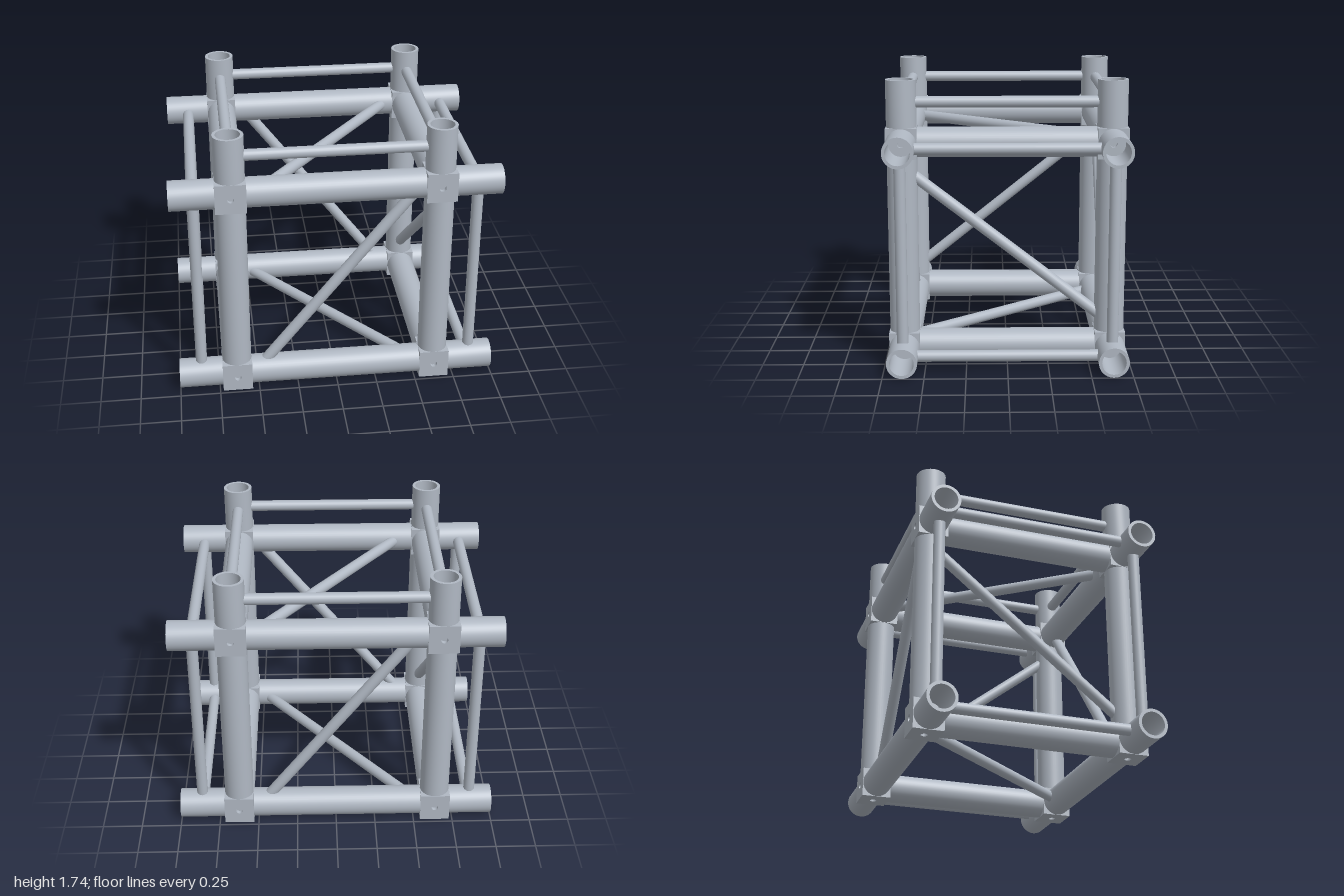
import * as THREE from 'three';
import { toCreasedNormals } from 'three/addons/utils/BufferGeometryUtils.js';

const R = 0.092;        // main tube radius
const INNER = 0.073;    // bore of the open tube ends
const BRACE = 0.035;    // thin brace radius
const S = 0.187;        // corner block size
const H = S / 2;
const LOW = H, HIGH = 1.363, TOP = 1.74;   // heights of the two frames and the post tips
const Z = 0.632;
const XL = -0.636, XR = 0.623;             // post centres

export function createModel() {
  const model = new THREE.Group();
  model.name = 'trussFrame';
  const steel = new THREE.MeshStandardMaterial({ color: 0xb0b8c3 });
  steel.name = 'pale steel';

  const add = (name, geometry, parent = model) => {
    const mesh = new THREE.Mesh(geometry, steel);
    mesh.name = name;
    parent.add(mesh);
    return mesh;
  };

  // Lays a mesh whose geometry runs along +y from its origin between two points
  const along = (mesh, a, b) => {
    mesh.position.copy(a);
    mesh.quaternion.setFromUnitVectors(new THREE.Vector3(0, 1, 0), b.clone().sub(a).normalize());
  };

  // Solid rod from a to b, optionally lengthened at both ends to bury it in its neighbours
  const rod = (name, a, b, radius, extra = 0) => {
    const p = new THREE.Vector3(...a), q = new THREE.Vector3(...b);
    const dir = q.clone().sub(p).normalize().multiplyScalar(extra);
    p.sub(dir);
    q.add(dir);
    const length = p.distanceTo(q);
    const g = new THREE.CylinderGeometry(radius, radius, length, radius > 0.05 ? 40 : 24);
    g.translate(0, length / 2, 0);
    along(add(name, g), p, q);
  };

  // Hollow open tube end from a to b
  const pipe = (name, a, b) => {
    const p = new THREE.Vector3(...a), q = new THREE.Vector3(...b);
    const L = p.distanceTo(q);
    const profile = [[INNER, 0], [R, 0], [R, L], [INNER, L], [INNER, 0]];
    const g = new THREE.LatheGeometry(profile.map(([x, y]) => new THREE.Vector2(x, y)), 40);
    along(add(name, toCreasedNormals(g, 0.6)), p, q);
  };

  // Corner block: a core clad in six plates, each with a screw hole
  const depth = 0.025;
  const face = new THREE.Shape([[-H, -H], [H, -H], [H, H], [-H, H]].map(([x, y]) => new THREE.Vector2(x, y)));
  face.holes.push(new THREE.Path().absarc(0, 0, 0.021, 0, Math.PI * 2, true));
  const plate = new THREE.ExtrudeGeometry(face, { depth, bevelEnabled: false, curveSegments: 20 });
  plate.translate(0, 0, H - depth);
  const core = new THREE.BoxGeometry(S - 2 * depth, S - 2 * depth, S - 2 * depth);
  const q = Math.PI / 2;
  const turns = [[0, 0], [0, 2 * q], [0, q], [0, -q], [q, 0], [-q, 0]];
  const block = (x, y, z) => {
    const group = new THREE.Group();
    group.name = 'cornerBlock';
    group.position.set(x, y, z);
    add('blockCore', core, group);
    for (const [rx, ry] of turns) add('blockFace', plate, group).rotation.set(rx, ry, 0);
    model.add(group);
  };

  for (const x of [XL, XR]) {
    const side = Math.sign(x);
    for (const z of [-Z, Z]) {
      // Posts with open tops
      rod('post', [x, LOW + H, z], [x, HIGH - H, z], R);
      pipe('postTop', [x, HIGH + H, z], [x, TOP, z]);
      for (const y of [LOW, HIGH]) {
        block(x, y, z);
        pipe('railEnd', [x + side * H, y, z], [side, y, z]);
      }
      // Upright braces between the rail ends
      rod('endUpright', [side * 0.86, LOW + R, z], [side * 0.86, HIGH - R, z], BRACE, 0.01);
    }
    for (const y of [LOW, HIGH]) {
      rod('crossRail', [x, y, -Z + H], [x, y, Z - H], R);
      rod('endBrace', [side * 0.86, y, -Z + R], [side * 0.86, y, Z - R], BRACE, 0.01);
    }
    rod('topSideBrace', [x, 1.605, -Z + R], [x, 1.605, Z - R], BRACE, 0.01);
  }

  for (const z of [-Z, Z]) {
    for (const y of [LOW, HIGH]) rod('longRail', [XL + H, y, z], [XR - H, y, z], R);
    rod('topLongBrace', [XL + R, 1.605, z], [XR - R, 1.605, z], BRACE, 0.01);
  }

  // One diagonal in each face of the cube
  const diagonals = {
    frontDiagonal: [[-0.425, 0.19, Z], [0.445, 1.27, Z]],
    backDiagonal: [[-0.425, 1.27, -Z], [0.4, 0.19, -Z]],
    leftDiagonal: [[XR, 1.14, 0.54], [XR, 0.3, -0.54]],
    rightDiagonal: [[XL, 0.3, 0.54], [XL, 1.17, -0.54]],
    topDiagonal: [[-0.4, HIGH, 0.54], [0.435, HIGH, -0.54]],
    bottomDiagonal: [[-0.44, LOW, -0.54], [0.43, LOW, 0.54]],
  };
  for (const [name, [a, b]] of Object.entries(diagonals)) rod(name, a, b, BRACE, 0.06);

  return model;
}
